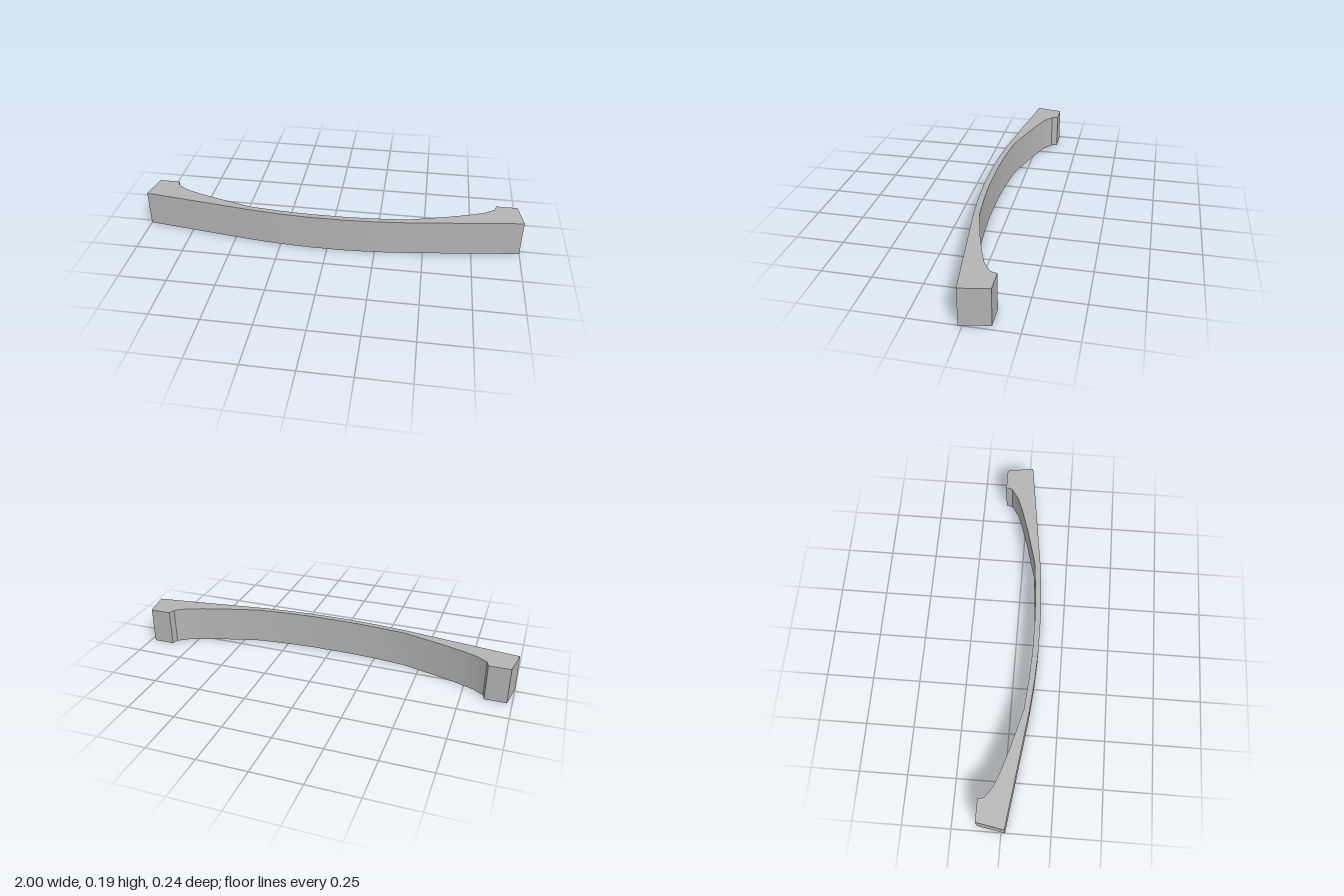
import * as THREE from 'three';
import { toCreasedNormals } from 'three/addons/utils/BufferGeometryUtils.js';

const HEIGHT = 0.191;

// Plan outline of the +x half as [x, z], from front centre round to back centre
const HALF = [
  [0.1, 0.122], [0.25, 0.114], [0.41, 0.099], [1, 0.02],
  [0.975, -0.122], [0.865, -0.122], [0.855, -0.088],
  [0.8, -0.05], [0.715, -0.018], [0.6, 0.018], [0.41, 0.069], [0.25, 0.084], [0.1, 0.092],
];

export function createModel() {
  const group = new THREE.Group();
  group.name = 'bowHandle';

  const grey = new THREE.MeshStandardMaterial({ color: 0xb4b4b4 });
  grey.name = 'grey';

  // Mirror the half outline; shape y is -z so it lies flat after rotation
  const mirrored = HALF.map(([x, z]) => [-x, z]).reverse();
  const outline = [...HALF, ...mirrored].map(([x, z]) => new THREE.Vector2(x, -z));

  // Curved grip with a foot at each end, smooth along the bow and sharp at the edges
  const solid = new THREE.ExtrudeGeometry(new THREE.Shape(outline), {
    depth: HEIGHT,
    bevelEnabled: false,
  });
  solid.rotateX(-Math.PI / 2);
  const handle = new THREE.Mesh(toCreasedNormals(solid, 0.5), grey);
  handle.name = 'curvedHandle';
  group.add(handle);

  return group;
}
